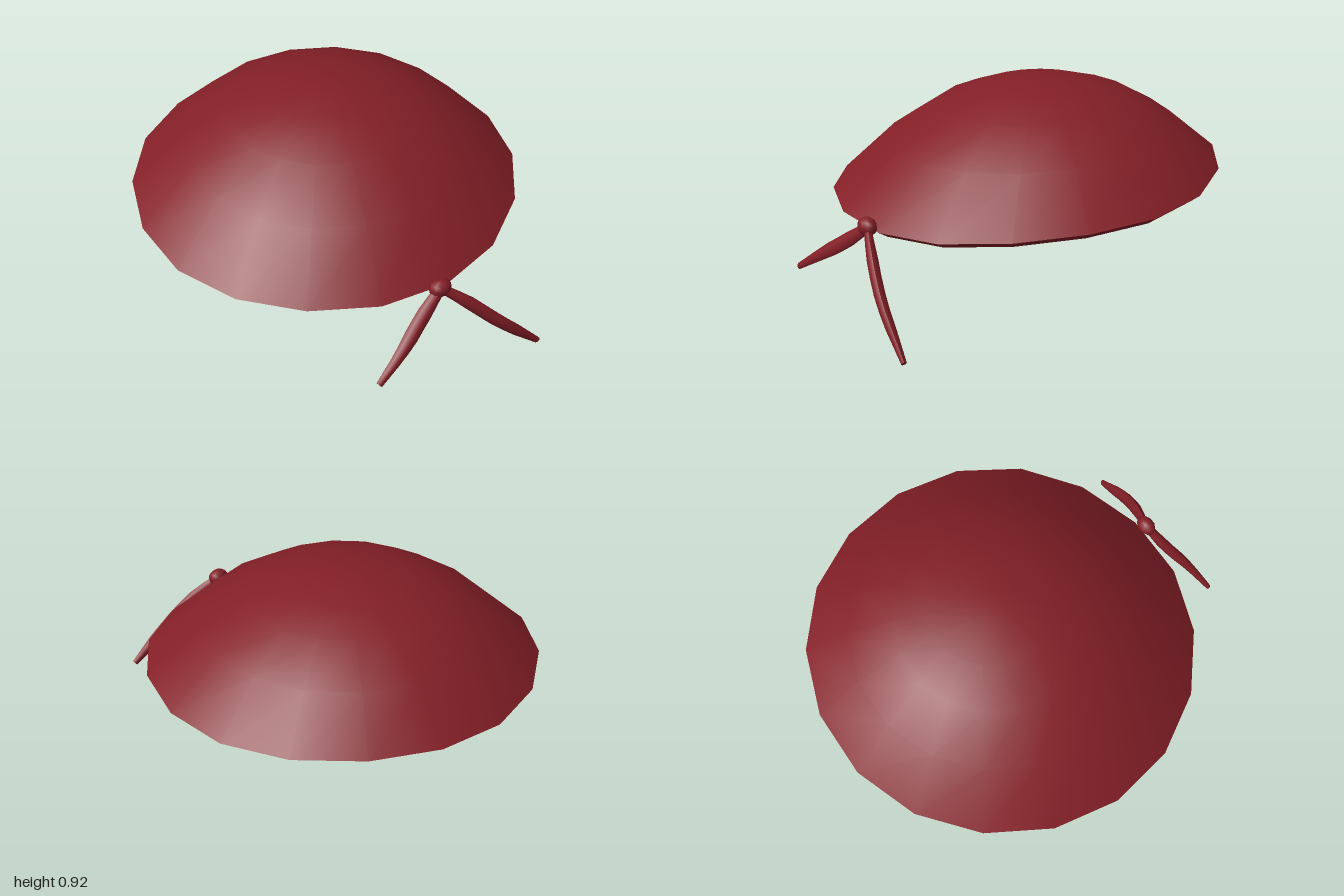
import * as THREE from 'three';
import { toCreasedNormals } from 'three/addons/utils/BufferGeometryUtils.js';

const red = new THREE.MeshStandardMaterial({ color: 0x841f27 });

// Skin a list of equally sized closed rings, capped by fans at both ends.
function loft(rings, crease) {
  const n = rings[0].length;
  const pos = rings.flat().flatMap((p) => p.toArray());
  const index = [];
  for (let r = 0; r < rings.length - 1; r++) {
    for (let i = 0; i < n; i++) {
      const a = r * n + i, b = r * n + (i + 1) % n, c = a + n, d = b + n;
      index.push(a, b, d, a, d, c);
    }
  }
  for (const [k, flip] of [[0, true], [rings.length - 1, false]]) {
    const mid = rings[k].reduce((s, p) => s.add(p), new THREE.Vector3()).divideScalar(n);
    const m = pos.length / 3;
    pos.push(...mid.toArray());
    for (let i = 0; i < n; i++) {
      const a = k * n + i, b = k * n + (i + 1) % n;
      index.push(...(flip ? [b, a, m] : [a, b, m]));
    }
  }
  const g = new THREE.BufferGeometry();
  g.setAttribute('position', new THREE.Float32BufferAttribute(pos, 3));
  g.setIndex(index);
  return toCreasedNormals(g, crease);
}

// One tilted ring of the cloth, running anticlockwise seen from above.
function clothRing([radius, centreZ, height, tilt, dip]) {
  return Array.from({ length: 18 }, (_, i) => {
    const t = (i / 18) * Math.PI * 2;
    return new THREE.Vector3(
      -0.058 + radius * Math.sin(t),
      height - tilt * Math.cos(t) - dip * Math.sin(2 * t) ** 2,
      centreZ + radius * Math.cos(t)
    );
  });
}

// Tapered strip with an oval section along a curve.
function tail(name, points, radii) {
  const curve = new THREE.CatmullRomCurve3(points.map((p) => new THREE.Vector3(...p)));
  const steps = 8, sides = 8;
  const rings = [];
  for (let s = 0; s <= steps; s++) {
    const u = s / steps;
    const centre = curve.getPointAt(u);
    const tangent = curve.getTangentAt(u);
    const wide = new THREE.Vector3(0, 0, 1).cross(tangent).normalize();
    const thin = tangent.clone().cross(wide);
    const f = u * (radii.length - 1), k = Math.min(Math.floor(f), radii.length - 2);
    const r = THREE.MathUtils.lerp(radii[k], radii[k + 1], f - k);
    rings.push(Array.from({ length: sides }, (_, i) => {
      const a = (i / sides) * Math.PI * 2;
      return centre.clone()
        .addScaledVector(wide, r * Math.cos(a))
        .addScaledVector(thin, r * 0.75 * Math.sin(a));
    }));
  }
  const mesh = new THREE.Mesh(loft(rings, 0.9), red);
  mesh.name = name;
  return mesh;
}

export function createModel() {
  const group = new THREE.Group();
  group.name = 'headscarf';

  // Cloth dome: inner skin from crown to rim, then outer skin back to the crown
  // Each ring: radius, centre z, height, front-to-back tilt, diagonal dip
  const inner = [
    [0.07, -0.155, 0.892, 0, 0],
    [0.245, -0.14, 0.865, 0.005, 0],
    [0.43, -0.12, 0.8, 0.022, 0],
    [0.645, -0.105, 0.662, 0.045, 0],
    [0.87, -0.087, 0.457, 0.072, 0.018],
  ];
  const outer = [
    [0.918, -0.085, 0.492, 0.075, 0.018],
    [0.678, -0.105, 0.7, 0.045, 0],
    [0.453, -0.12, 0.837, 0.022, 0],
    [0.258, -0.143, 0.902, 0.005, 0],
    [0.078, -0.155, 0.928, 0, 0],
  ];
  const cloth = new THREE.Mesh(loft([...inner, ...outer].map(clothRing), 0.75), red);
  cloth.name = 'cloth';
  group.add(cloth);

  // Knot at the front left of the rim
  const knot = new THREE.Mesh(new THREE.SphereGeometry(0.05, 10, 7), red);
  knot.name = 'knot';
  knot.scale.set(1.08, 0.85, 0.8);
  knot.position.set(0.502, 0.438, 0.667);
  knot.rotation.y = 0.55;
  group.add(knot);

  // Two loose ends hanging from the knot
  group.add(
    tail('longTail',
      [[0.51, 0.43, 0.665], [0.62, 0.35, 0.65], [0.77, 0.21, 0.615], [0.967, 0.018, 0.53]],
      [0.022, 0.033, 0.033, 0.029, 0.016]),
    tail('shortTail',
      [[0.5, 0.43, 0.67], [0.43, 0.345, 0.76], [0.35, 0.25, 0.88], [0.26, 0.157, 0.988]],
      [0.026, 0.036, 0.036, 0.026, 0.016])
  );
  return group;
}
